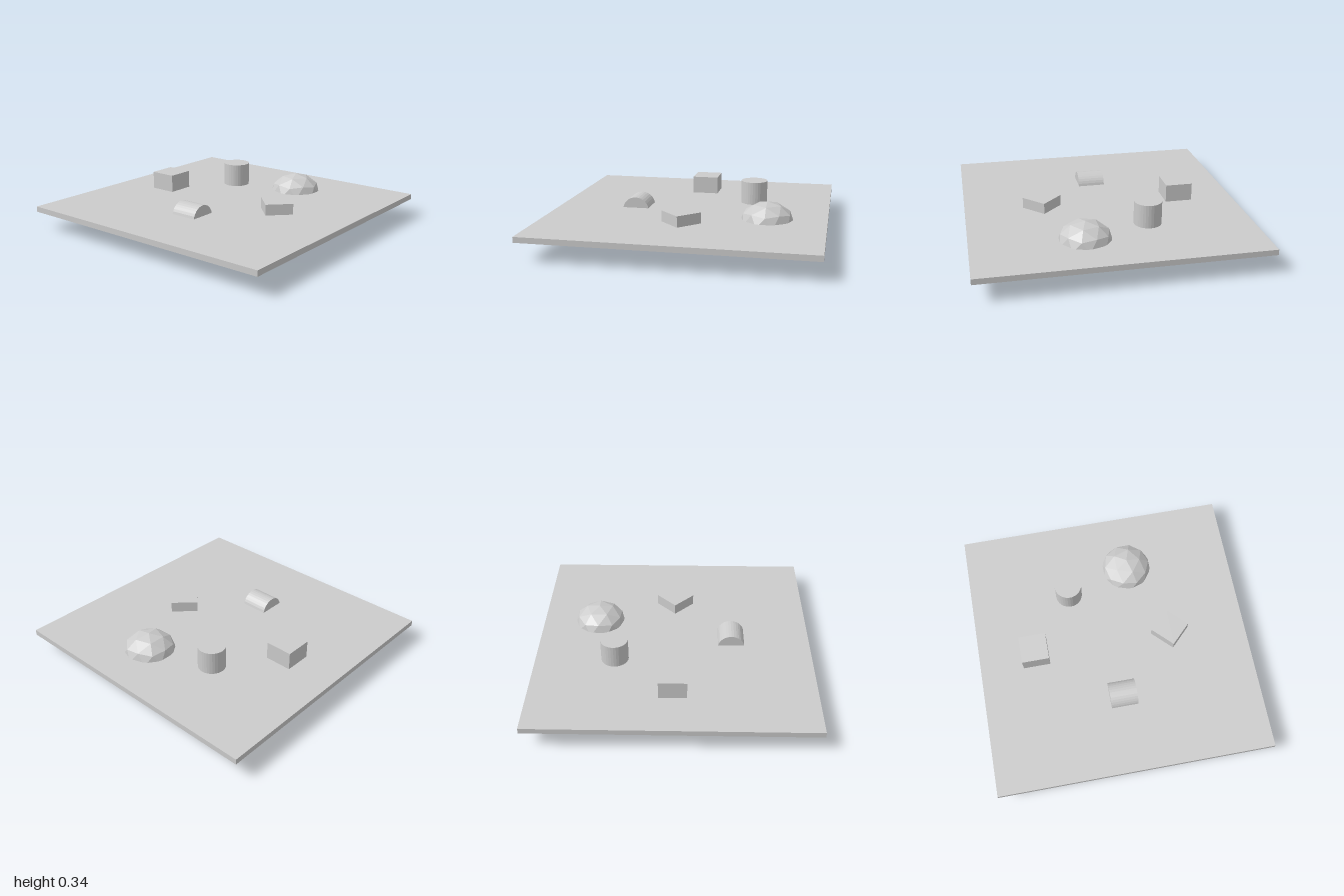
import * as THREE from 'three';

export function createModel() {
  const group = new THREE.Group();
  const material = new THREE.MeshStandardMaterial({ color: 0xcccccc, flatShading: true });
  const size = 0.198;
  const mid = 0.155;

  function add(name, geometry, x, y, z) {
    const mesh = new THREE.Mesh(geometry, material);
    mesh.name = name;
    mesh.position.set(x, y, z);
    group.add(mesh);
    return mesh;
  }

  // Thin square ground plate
  add('plate', new THREE.BoxGeometry(2, 0.04, 2), 0, mid, 0);

  // Two equal cubes, one turned to a diamond
  const cube = new THREE.BoxGeometry(size, size, size);
  add('raisedCube', cube, -0.585, 0.206, 0);
  add('turnedCube', cube, 0.435, mid, 0).rotation.y = Math.PI / 4;

  // Two equal cylinders, one standing and one lying along x
  const cylinder = new THREE.CylinderGeometry(size / 2, size / 2, size, 32);
  add('standingCylinder', cylinder, -0.26, 0.246, -0.425);
  add('lyingCylinder', cylinder, 0, mid, 0.421).rotation.z = Math.PI / 2;

  // Faceted boulder: a subdivided icosahedron with a corner turned up, then flattened
  const boulder = new THREE.IcosahedronGeometry(1, 1);
  boulder.rotateX(-Math.atan((1 + Math.sqrt(5)) / 2));
  boulder.rotateY(Math.PI / 2);
  boulder.scale(0.193, 0.15, 0.193);
  add('boulder', boulder, 0.214, 0.15, -0.575);

  return group;
}
